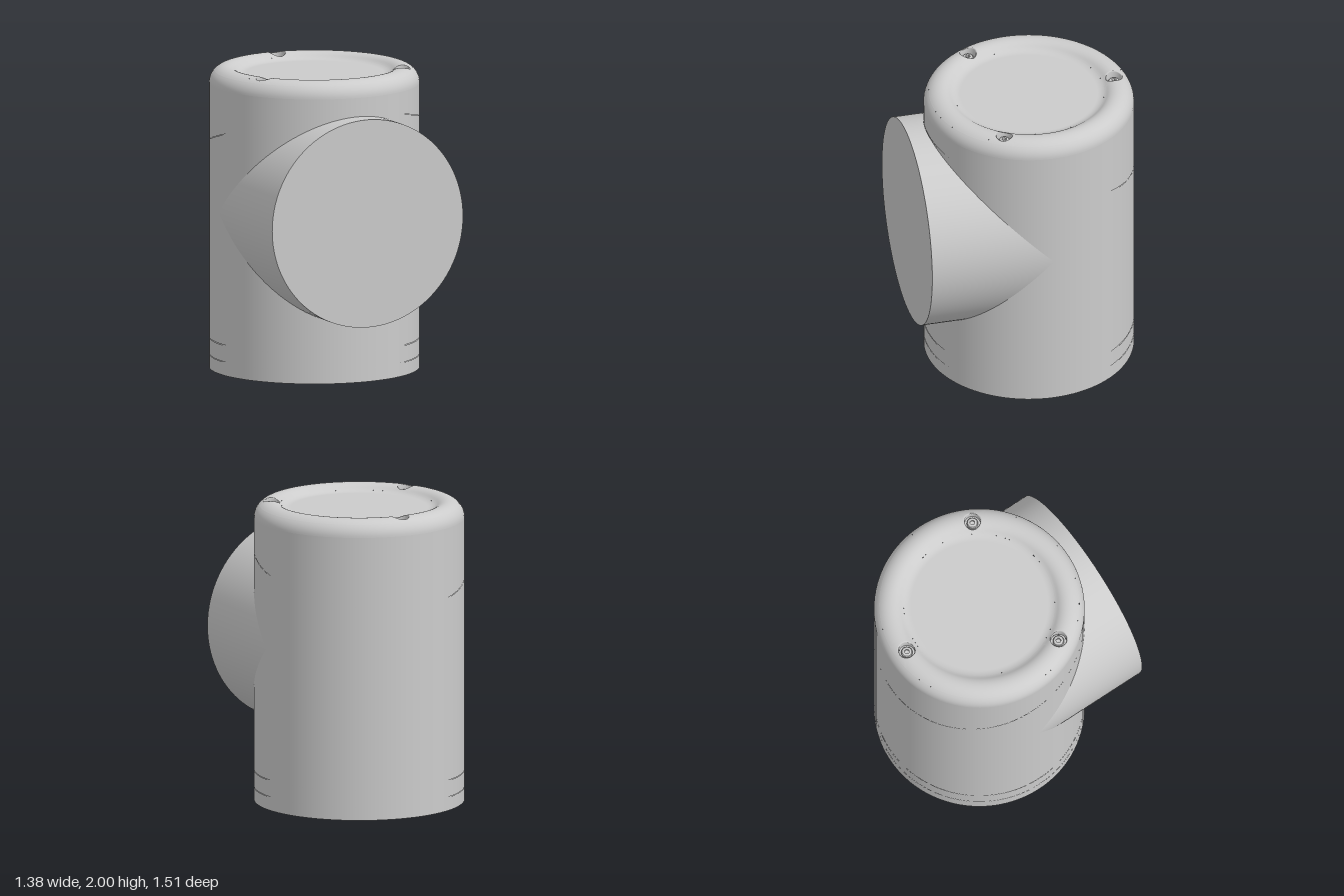
import * as THREE from 'three';

const R = 0.69;            // radius of the body and of the front branch
const AXIS_Z = -0.065;     // body axis
const BRANCH_Y = 1.075;    // branch axis height
const SEG = 96;
const CREST = 0.58;        // radius of the top rim's crest
const ROUND = 0.11;        // outer rounding of the rim
const DISH_R = 0.1, DISH_W = DISH_R * Math.sin(0.7), FLOOR = 2 - 2 * DISH_R * (1 - Math.cos(0.7));
const SCREW_R = 0.575, PATCH = 0.08, POCKET_Y = 1.94;

const mat = new THREE.MeshStandardMaterial({ color: 0xcccccc });
const flatMat = new THREE.MeshStandardMaterial({ color: 0xcccccc, flatShading: true });

function add(parent, name, geometry, material = mat) {
  const mesh = new THREE.Mesh(geometry, material);
  mesh.name = name;
  parent.add(mesh);
  return mesh;
}

// Open tube whose lower and upper edges follow height rules of z
function wall(radius, low, high) {
  const g = new THREE.CylinderGeometry(radius, radius, 1, SEG, 1, true);
  const p = g.attributes.position;
  for (let i = 0; i < p.count; i++) p.setY(i, (p.getY(i) < 0 ? low : high)(p.getZ(i)));
  return g;
}

// Height of the top: rounded outside, S-curve down to a shallow dish inside
function topHeight(r) {
  const d = r - CREST, u = -d;
  if (d >= 0) return 2 - ROUND + Math.sqrt(Math.max(0, ROUND ** 2 - d * d));
  if (u < DISH_W) return 2 - DISH_R + Math.sqrt(DISH_R ** 2 - u * u);
  if (u < 2 * DISH_W) return FLOOR + DISH_R - Math.sqrt(DISH_R ** 2 - (2 * DISH_W - u) ** 2);
  return FLOOR;
}

function profile(rOuter, rInner, n) {
  return Array.from({ length: n + 1 }, (_, i) => {
    const r = rOuter + (rInner - rOuter) * i / n;
    return new THREE.Vector2(r, topHeight(r));
  });
}

// Piece of the rim with a round screw pocket, centred on angle 0
function pocketPatch() {
  const N = 48, ROWS = 6, pos = [], idx = [];
  const put = (r, phi, y) => pos.push(r * Math.sin(phi), y, r * Math.cos(phi));
  for (let j = 0; j <= ROWS + 2; j++) {
    for (let i = 0; i <= N; i++) {
      const a = i / N * Math.PI * 2, c = Math.cos(a), s = Math.sin(a);
      const hole = j > ROWS ? 0.052 : 0.058;
      const hx = s * hole, hz = SCREW_R + c * hole;
      const hr = Math.hypot(hx, hz), hp = Math.atan2(hx, hz);
      if (j <= ROWS) {
        const k = PATCH / Math.max(Math.abs(c), Math.abs(s)), t = j / ROWS;
        const r = THREE.MathUtils.lerp(SCREW_R + c * k, hr, t);
        put(r, THREE.MathUtils.lerp(s * k / SCREW_R, hp, t), topHeight(r));
      } else {
        put(hr, hp, j === ROWS + 1 ? topHeight(hr) - 0.006 : POCKET_Y);
      }
    }
  }
  for (let j = 0; j < ROWS + 2; j++) {
    for (let i = 0; i < N; i++) {
      const o = j * (N + 1) + i, n = o + N + 1;
      idx.push(o, o + 1, n + 1, o, n + 1, n);
    }
  }
  const g = new THREE.BufferGeometry();
  g.setAttribute('position', new THREE.Float32BufferAttribute(pos, 3));
  g.setIndex(idx);
  g.computeVertexNormals();
  return g;
}

const vecs = (list) => list.map(([x, y]) => new THREE.Vector2(x, y));

export function createModel() {
  const model = new THREE.Group();
  model.name = 'teeHousing';
  const body = new THREE.Group();
  body.name = 'body';
  body.position.z = AXIS_Z;
  model.add(body);

  // Stacked outer walls with hairline seams over an inner core
  const at = (y) => () => y;
  const seam = (offset) => (z) => 1.5825 + 0.2645 * z + offset;
  add(body, 'baseRing', wall(R, at(0), at(0.088)));
  add(body, 'lowerBand', wall(R, at(0.091), at(0.199)));
  add(body, 'mainWall', wall(R, at(0.203), seam(-0.0015)));
  add(body, 'capWall', wall(R, seam(0.0015), at(2 - ROUND)));
  add(body, 'innerCore', wall(R - 0.005, at(0.02), at(1.85)));
  add(body, 'bottom', new THREE.CircleGeometry(R, SEG).rotateX(Math.PI / 2));

  // Rounded rim: outer shoulder, then the dished middle
  const outer = SCREW_R + PATCH, inner = SCREW_R - PATCH;
  const end = Math.asin((outer - CREST) / ROUND);
  const shoulder = Array.from({ length: 9 }, (_, i) => {
    const a = Math.PI / 2 + (end - Math.PI / 2) * i / 8;
    return new THREE.Vector2(CREST + ROUND * Math.sin(a), 2 - ROUND + ROUND * Math.cos(a));
  });
  add(body, 'rimShoulder', new THREE.LatheGeometry(shoulder, SEG));
  const dish = profile(inner, CREST - 2 * DISH_W, 8);
  add(body, 'rimInnerSlope', new THREE.LatheGeometry(dish, SEG));
  add(body, 'topPanel', new THREE.CircleGeometry(CREST - 2 * DISH_W, SEG).rotateX(-Math.PI / 2)).position.y = FLOOR;

  // Three screw pockets with rim sections between them
  const half = PATCH / SCREW_R, third = Math.PI * 2 / 3;
  const crest = profile(outer, inner, 20);
  const section = new THREE.LatheGeometry(crest, 32, half, third - 2 * half);
  const patch = pocketPatch();
  const head = new THREE.LatheGeometry(vecs([
    [0.052, POCKET_Y], [0.037, POCKET_Y], [0.037, 1.956], [0.032, 1.963], [0.022, 1.966], [0.0155, 1.966],
  ]), 32);
  const socket = new THREE.LatheGeometry(vecs([[0.018, 1.9655], [0.017, 1.95], [0, 1.946]]), 6);
  for (let i = 0; i < 3; i++) {
    const station = new THREE.Group();
    station.name = 'screwStation';
    station.rotation.y = Math.PI / 3 + i * third;
    body.add(station);
    add(station, 'rimSection', section);
    add(station, 'screwPocket', patch);
    add(station, 'screwHead', head, flatMat).position.z = SCREW_R;
    add(station, 'screwSocket', socket, flatMat).position.z = SCREW_R;
  }

  // Front branch, mitred where it meets the equal-radius body
  const branch = new THREE.Group();
  branch.name = 'frontBranch';
  branch.position.set(0, BRANCH_Y, AXIS_Z);
  model.add(branch);
  const length = 0.755 - AXIS_Z;
  const tube = new THREE.CylinderGeometry(R, R, 1, SEG, 1, true).rotateX(Math.PI / 2);
  const p = tube.attributes.position;
  for (let i = 0; i < p.count; i++) p.setZ(i, p.getZ(i) > 0 ? length : Math.abs(p.getY(i)));
  add(branch, 'branchWall', tube);
  add(branch, 'branchFace', new THREE.CircleGeometry(R, SEG)).position.z = length;

  return model;
}
